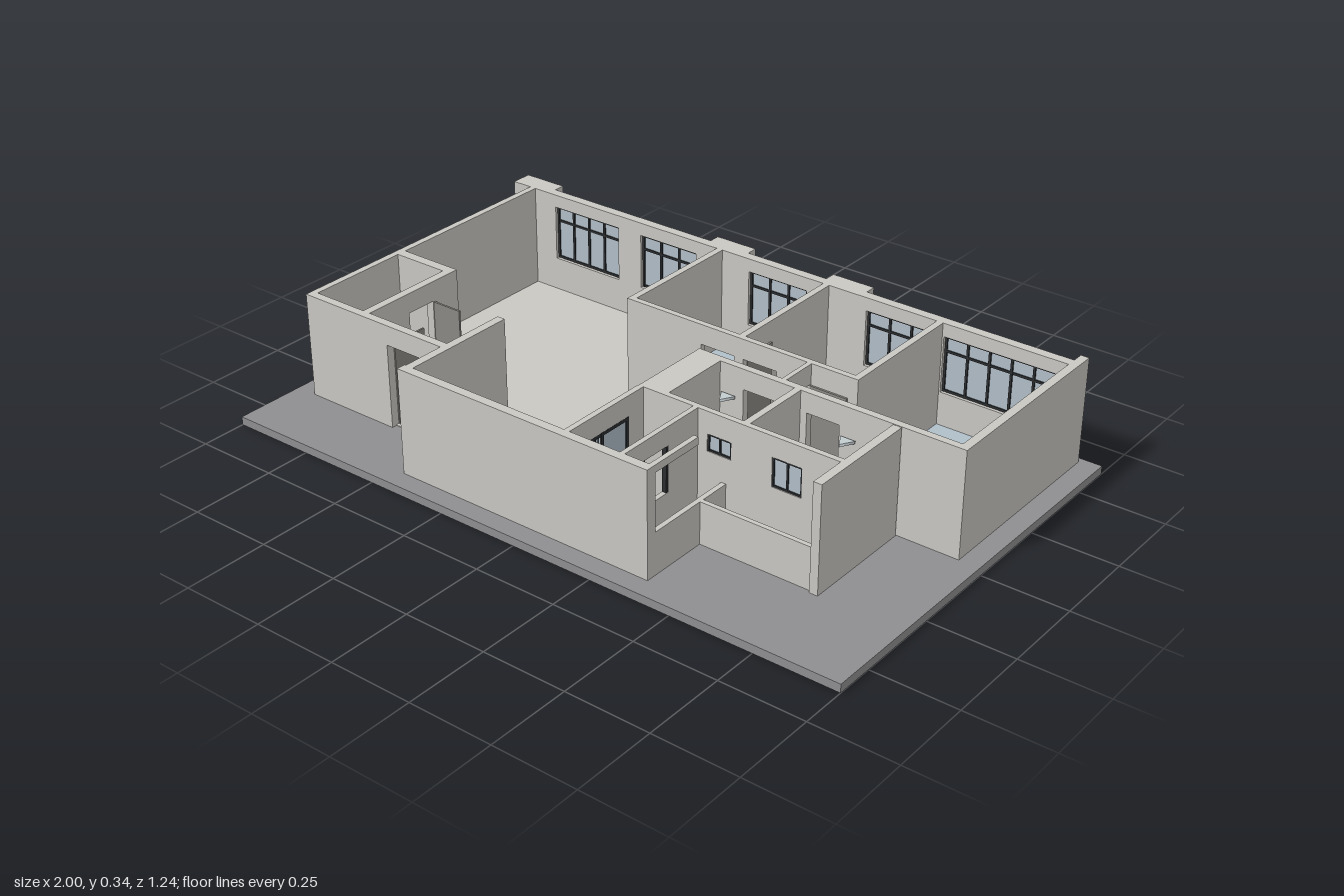
import * as THREE from 'three';

const mat = (name, color) => Object.assign(new THREE.MeshStandardMaterial({ color }), { name });
const M = {
  wall: mat('warm grey plaster', 0xcac8c3),
  slab: mat('dark grey concrete', 0x8f8f91),
  blue: mat('pale blue glass and tile', 0xb1bfc9),
  frame: mat('black frame', 0x2b2d2f),
  door: mat('door grey', 0x8b8984),
  ceramic: mat('ceramic', 0xc3ccd0),
};
const BASE = 0.025, TOP = 0.34, DOOR = 0.28;

// Box given by its extents
function box(parent, name, m, x0, x1, y0, y1, z0, z1) {
  const mesh = new THREE.Mesh(new THREE.BoxGeometry(x1 - x0, y1 - y0, z1 - z0), m);
  mesh.position.set((x0 + x1) / 2, (y0 + y1) / 2, (z0 + z1) / 2);
  mesh.name = name;
  parent.add(mesh);
  return mesh;
}

// Box laid out along a wall: a = along, d = across
function along(parent, name, m, axis, a0, a1, y0, y1, d0, d1) {
  return axis === 'x' ? box(parent, name, m, a0, a1, y0, y1, d0, d1)
    : box(parent, name, m, d0, d1, y0, y1, a0, a1);
}

// Straight wall with sorted openings [from, to, sill, head]
function wall(parent, name, axis, a0, a1, d0, d1, openings = []) {
  const g = new THREE.Group();
  g.name = name;
  let a = a0;
  for (const [o0, o1, sill, head] of openings) {
    if (o0 > a) along(g, 'wallPanel', M.wall, axis, a, o0, BASE, TOP, d0, d1);
    if (sill > BASE) along(g, 'sill', M.wall, axis, o0, o1, BASE, sill, d0, d1);
    if (head < TOP) along(g, 'lintel', M.wall, axis, o0, o1, head, TOP, d0, d1);
    a = o1;
  }
  if (a < a1) along(g, 'wallPanel', M.wall, axis, a, a1, BASE, TOP, d0, d1);
  parent.add(g);
}

// Framed glazing with evenly spaced mullions and an optional transom
function glazing(parent, name, axis, a0, a1, y0, y1, d, panes, transom = 0, t = 0.007) {
  const g = new THREE.Group();
  g.name = name;
  along(g, 'glass', M.blue, axis, a0, a1, y0, y1, d - 0.002, d + 0.002);
  for (let i = 0; i <= panes; i++) {
    const a = a0 + t / 2 + (a1 - a0 - t) * i / panes;
    along(g, 'mullion', M.frame, axis, a - t / 2, a + t / 2, y0, y1, d - 0.006, d + 0.006);
  }
  for (const y of [y0, y1 - t, transom]) {
    if (y) along(g, 'rail', M.frame, axis, a0, a1, y, y + t, d - 0.0055, d + 0.0055);
  }
  parent.add(g);
}

function toilet(parent, x, z, dir) {
  const g = new THREE.Group();
  g.name = 'toilet';
  const bowl = new THREE.Mesh(new THREE.CylinderGeometry(0.026, 0.017, 0.05, 20), M.ceramic);
  bowl.name = 'bowl';
  bowl.scale.x = 1.3;
  bowl.position.set(0, BASE + 0.025, 0);
  g.add(bowl);
  box(g, 'tank', M.ceramic, 0.028, 0.052, BASE, BASE + 0.085, -0.022, 0.022);
  g.position.set(x, 0, z);
  if (dir < 0) g.rotation.y = Math.PI;
  parent.add(g);
}

function basin(parent, x, z, w, d) {
  const g = new THREE.Group();
  g.name = 'washbasin';
  box(g, 'counter', M.ceramic, -w / 2, w / 2, 0.105, 0.12, -d / 2, d / 2);
  box(g, 'pedestal', M.ceramic, -0.012, 0.012, BASE, 0.105, -0.012, 0.012);
  const bowl = new THREE.Mesh(new THREE.TorusGeometry(0.02, 0.003, 6, 20), M.ceramic);
  bowl.name = 'bowlRim';
  bowl.rotation.x = Math.PI / 2;
  bowl.position.y = 0.121;
  g.add(bowl);
  g.position.set(x, 0, z);
  parent.add(g);
}

function shower(parent, x) {
  const head = new THREE.Mesh(new THREE.CylinderGeometry(0.026, 0.026, 0.008, 3), M.ceramic);
  head.name = 'showerHead';
  head.position.set(x, 0.25, 0.024);
  parent.add(head);
}

export function createModel() {
  const root = new THREE.Group();
  root.name = 'apartment';
  box(root, 'groundSlab', M.slab, -1, 1, 0, BASE, -0.62, 0.615);

  // Floors: x0, x1, z0, z1
  const floors = [[-0.92, 0.92, -0.54, 0], [-0.92, -0.42, 0, 0.385], [-0.42, 0.12, 0, 0.54],
    [0.12, 0.29, 0.23, 0.54], [0.385, 0.74, 0.235, 0.34]];
  for (const [x0, x1, z0, z1] of floors) box(root, 'floor', M.wall, x0, x1, BASE, BASE + 0.002, z0, z1);
  const tiles = [[-0.205, 0.145, -0.535, -0.145], [0.165, 0.515, -0.535, -0.145],
    [0.535, 0.915, -0.535, -0.015], [0.39, 0.535, -0.125, -0.015],
    [0.195, 0.43, 0.005, 0.225], [0.45, 0.73, 0.005, 0.225]];
  for (const [x0, x1, z0, z1] of tiles) box(root, 'tiledFloor', M.blue, x0, x1, BASE, BASE + 0.004, z0, z1);

  // Rear wall, its windows and pilasters
  const rear = [[-0.835, -0.59, 4], [-0.505, -0.3, 3], [-0.11, 0.09, 3], [0.29, 0.505, 3], [0.54, 0.885, 5]];
  wall(root, 'rearWall', 'x', -0.935, 0.94, -0.565, -0.535, rear.map(([a, b]) => [a, b, 0.13, 0.3]));
  for (const [a, b, n] of rear) glazing(root, 'rearWindow', 'x', a, b, 0.13, 0.3, -0.55, n, 0.25);
  for (const [a, b, z] of [[-1, -0.86, -0.535], [-0.27, -0.135, -0.565], [0.135, 0.27, -0.565], [0.915, 0.94, -0.565]]) {
    box(root, 'pilaster', M.wall, a, b, BASE, TOP, -0.6, z);
  }

  // Outer walls
  wall(root, 'rightSideWall', 'z', -0.535, 0.4, -0.935, -0.915);
  wall(root, 'entranceWall', 'x', -0.915, -0.43, 0.375, 0.4, [[-0.63, -0.51, BASE, DOOR]]);
  wall(root, 'livingSideWall', 'z', 0.175, 0.53, -0.43, -0.405);
  wall(root, 'frontWall', 'x', -0.435, 0.39, 0.53, 0.557);
  wall(root, 'leftSideWall', 'z', -0.535, -0.015, 0.915, 0.94);
  wall(root, 'bathSideWall', 'z', 0.01, 0.355, 0.73, 0.755);

  // Small room by the entrance
  wall(root, 'smallRoomRearWall', 'x', -0.915, -0.715, 0.03, 0.06);
  wall(root, 'smallRoomSideWall', 'z', 0.06, 0.375, -0.74, -0.715, [[0.13, 0.225, BASE, DOOR]]);

  // Bedroom partitions
  wall(root, 'bedroomPartition', 'z', -0.535, -0.145, -0.225, -0.205);
  wall(root, 'bedroomPartition', 'z', -0.535, -0.145, 0.145, 0.165);
  wall(root, 'bedroomPartition', 'z', -0.535, -0.145, 0.515, 0.535);
  wall(root, 'hallWall', 'x', -0.225, 0.535, -0.145, -0.127, [[0.03, 0.14, BASE, DOOR], [0.17, 0.28, BASE, DOOR]]);
  wall(root, 'hallEndWall', 'z', -0.127, -0.015, 0.376, 0.39, [[-0.122, -0.02, BASE, DOOR]]);

  // Bathrooms, with the solid service shaft beside them
  wall(root, 'bathRearWall', 'x', 0.11, 0.94, -0.015, 0.007, [[0.27, 0.37, BASE, DOOR], [0.47, 0.57, BASE, DOOR]]);
  box(root, 'serviceShaft', M.wall, 0.11, 0.195, BASE, TOP, 0, 0.24);
  wall(root, 'bathPartition', 'z', 0.005, 0.225, 0.43, 0.45);
  wall(root, 'bathFrontWall', 'x', 0.195, 0.73, 0.223, 0.24, [[0.33, 0.405, 0.225, 0.275], [0.53, 0.62, 0.195, 0.28]]);
  glazing(root, 'bathWindow', 'x', 0.33, 0.405, 0.225, 0.275, 0.232, 2, 0, 0.005);
  glazing(root, 'bathWindow', 'x', 0.53, 0.62, 0.195, 0.28, 0.232, 2, 0, 0.005);
  toilet(root, 0.375, 0.06, 1);
  toilet(root, 0.5, 0.17, -1);
  basin(root, 0.252, 0.193, 0.08, 0.06);
  basin(root, 0.478, 0.065, 0.055, 0.08);
  shower(root, 0.225);
  shower(root, 0.6);

  // Kitchen, sliding door and open utility bay
  wall(root, 'kitchenWall', 'z', 0.24, 0.53, 0.108, 0.125, [[0.3, 0.51, BASE, DOOR]]);
  glazing(root, 'slidingDoor', 'z', 0.3, 0.41, BASE, DOOR, 0.12, 1, 0, 0.01);
  glazing(root, 'slidingDoor', 'z', 0.31, 0.42, BASE, DOOR, 0.103, 1, 0, 0.01);
  box(root, 'slidingDoorJamb', M.frame, 0.1, 0.125, BASE, DOOR, 0.5, 0.51);
  box(root, 'slidingDoorHead', M.frame, 0.1, 0.125, DOOR - 0.01, DOOR, 0.3, 0.51);
  wall(root, 'kitchenOuterWall', 'z', 0.24, 0.53, 0.285, 0.3, [[0.36, 0.525, 0.15, 0.285]]);
  glazing(root, 'slidingWindow', 'z', 0.45, 0.525, 0.155, 0.285, 0.292, 1);
  glazing(root, 'slidingWindow', 'z', 0.443, 0.52, 0.155, 0.285, 0.284, 1);
  box(root, 'windowJamb', M.frame, 0.286, 0.299, 0.15, 0.285, 0.36, 0.367);
  wall(root, 'bayWall', 'z', 0.24, 0.53, 0.375, 0.39, [[0.24, 0.355, 0.15, TOP], [0.355, 0.525, 0.15, 0.318]]);
  box(root, 'balconyParapet', M.wall, 0.39, 0.73, BASE, 0.15, 0.333, 0.347);

  // Open door leaves
  const doors = [[-0.632, -0.626, 0.26, 0.375], [-0.715, -0.62, 0.122, 0.128], [0.139, 0.145, -0.26, -0.147],
    [0.165, 0.171, -0.26, -0.147], [0.39, 0.505, -0.127, -0.121]];
  for (const [x0, x1, z0, z1] of doors) box(root, 'doorLeaf', M.door, x0, x1, BASE, DOOR - 0.003, z0, z1);
  return root;
}
